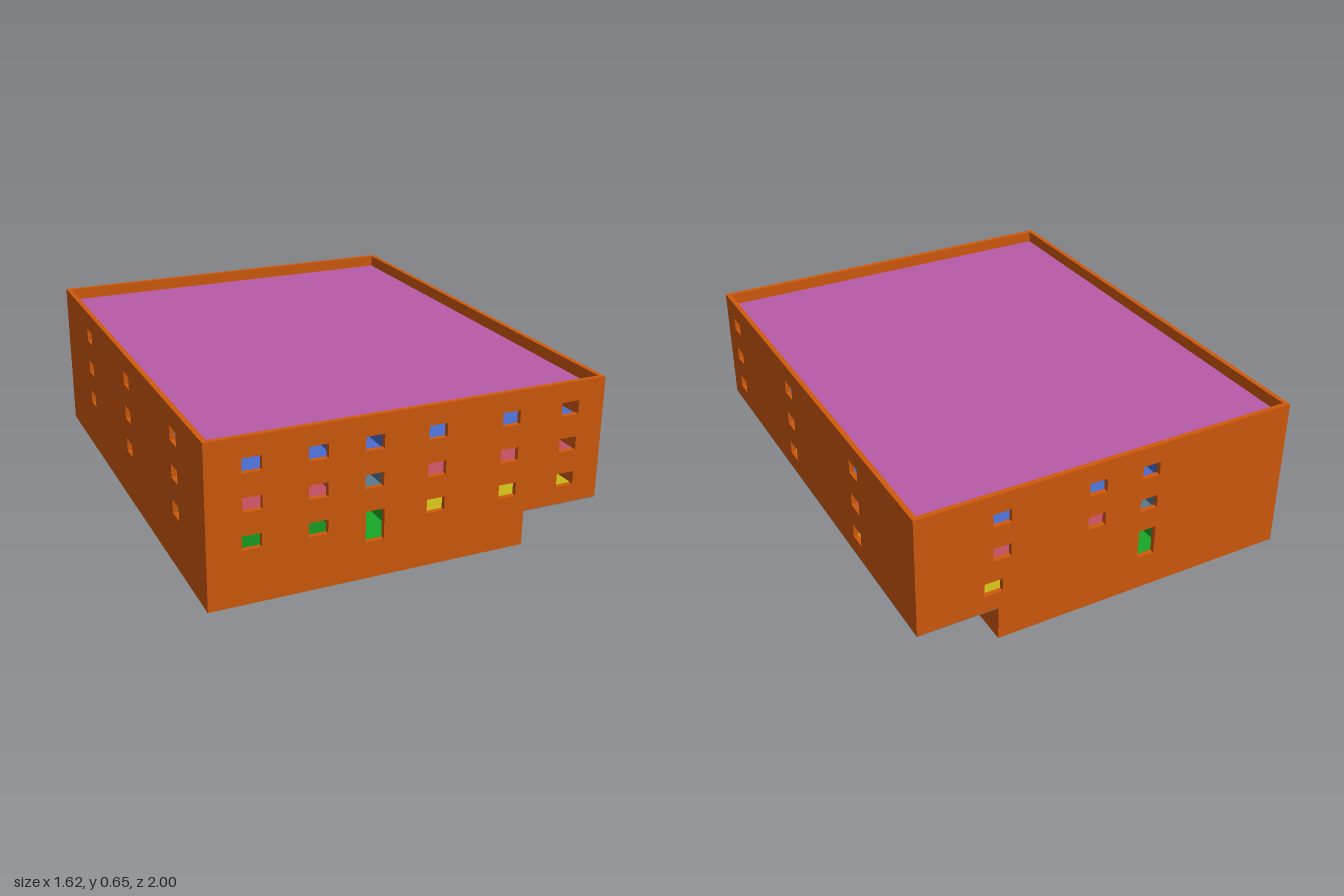
import * as THREE from 'three';

const W = 0.81, D = 1, H = 0.65, T = 0.02;      // half width, half depth, height, wall thickness
const BASE = 0.145, BASE_X = 0.48, ROOF = 0.6;  // basement height, basement right edge, roof level
const ORANGE = 0xd25a0c, YELLOW = 0xc8b818, GREEN = 0x148a1c, CYAN = 0x22b0b0;
const PINK = 0xc05060, TEAL = 0x5fae98, BLUE = 0x4a6cd0, PURPLE = 0x7d5c85;

const materials = {};
function mat(color) {
  return materials[color] ??= new THREE.MeshStandardMaterial({ color, side: THREE.DoubleSide });
}

// Box given by its limits on each axis
function slab(parent, name, color, x0, x1, y0, y1, z0, z1) {
  const mesh = new THREE.Mesh(new THREE.BoxGeometry(x1 - x0, y1 - y0, z1 - z0), mat(color));
  mesh.position.set((x0 + x1) / 2, (y0 + y1) / 2, (z0 + z1) / 2);
  mesh.name = name;
  parent.add(mesh);
}

// Upright wall from an outline, with rectangular openings [centre u, centre v, width, height]
function wall(parent, name, outline, openings, place) {
  const shape = new THREE.Shape(outline.map(([u, v]) => new THREE.Vector2(u, v)));
  for (const [u, v, w = 0.075, h = 0.056] of openings) {
    const a = w / 2, b = h / 2;
    shape.holes.push(new THREE.Path([[-a, -b], [-a, b], [a, b], [a, -b]]
      .map(([du, dv]) => new THREE.Vector2(u + du, v + dv))));
  }
  const mesh = new THREE.Mesh(
    new THREE.ExtrudeGeometry(shape, { depth: T, bevelEnabled: false }), mat(ORANGE));
  place(mesh);
  mesh.name = name;
  parent.add(mesh);
}

const rect = (u0, u1, v0, v1) => [[u0, v0], [u1, v0], [u1, v1], [u0, v1]];
const rows = (us, vs) => vs.flatMap(v => us.map(u => [u, v]));

function buildShell(g) {
  const stepped = [[-W, 0], [BASE_X, 0], [BASE_X, BASE], [W, BASE], [W, H], [-W, H]];
  const side = x => m => { m.rotation.y = -Math.PI / 2; m.position.x = x; };

  wall(g, 'frontWall', stepped, [
    ...rows([-0.635, -0.385, -0.165, 0.09, 0.4, 0.66], [0.542, 0.393]),
    ...rows([-0.64, -0.385, 0.09, 0.4, 0.66], [0.246]),
    [-0.16, 0.212, 0.075, 0.124]
  ], m => { m.position.z = D - T; });

  wall(g, 'backWall', stepped, [
    ...rows([0.465, 0.065, -0.168], [0.542, 0.393]),
    [0.5, 0.246], [-0.17, 0.212, 0.075, 0.124]
  ], m => { m.position.z = -D; });

  const innerEnd = D - T;
  wall(g, 'rightWall', rect(-innerEnd, innerEnd, BASE, H),
    rows([0.865, 0.205, -0.475], [0.542, 0.393, 0.246]), side(W));
  wall(g, 'leftWall', rect(-innerEnd, innerEnd, 0, H),
    rows([0.66, 0.035, -0.57], [0.542, 0.393, 0.246]), side(T - W));
  wall(g, 'basementRightWall', rect(-innerEnd, innerEnd, 0, BASE), [], side(BASE_X));

  const x = W - T, z = D - T;
  slab(g, 'roof', 0xb85ca8, -x, x, ROOF - 0.01, ROOF, -z, z);
  slab(g, 'overhangUnderside', 0x808080, BASE_X, W, BASE - 0.003, BASE, -D, D);
}

function buildBasement(g) {
  const x0 = T - W, x1 = BASE_X - T, z = D - T;
  const hall = [-0.31, -0.12], t = 0.008;
  // Floor plates
  slab(g, 'basementRoomFloor', PURPLE, x0, hall[0], 0.004, 0.008, -z, z);
  slab(g, 'basementHallFloor', 0x4c7d48, hall[0], hall[1], 0.004, 0.008, -z, z);
  slab(g, 'basementRoomFloor', PURPLE, hall[1], x1, 0.004, 0.008, -z, z);
  // Hall walls and the doors in them
  for (const x of hall) {
    slab(g, 'basementHallWall', 0xc8b060, x - t, x + t, 0.002, BASE, -z, z);
    for (const dz of [0.8, 0.35, -0.1, -0.55, -0.8])
      slab(g, 'basementDoor', 0x60c0d8, x - t - 0.001, x + t + 0.001, 0.001, 0.11, dz - 0.07, dz + 0.07);
  }
  // Walls between rooms
  for (const c of [0.47, -0.05, -0.53])
    slab(g, 'basementRoomWall', 0xc8b060, hall[1], x1, 0.002, BASE, c - t, c + t);
  for (const c of [0.27, -0.2, -0.66])
    slab(g, 'basementRoomWall', 0xc8b060, x0, hall[0], 0.002, BASE, c - t, c + t);
}

function buildStoreys(g) {
  const x = W - T, z = D - T, t = 0.006;
  const hall = [-0.26, -0.06];
  // Each storey: floor level, ceiling level, hall colour, colours of left, mid-left and right rooms
  const storeys = [
    [0.146, 0.296, 0x18a828, GREEN, CYAN, YELLOW],
    [0.296, 0.446, 0x5a7a90, PINK, TEAL, PINK],
    [0.446, 0.59, BLUE, BLUE, BLUE, BLUE]
  ];
  storeys.forEach(([y0, y1, hallColor, farColor, nearColor, mainColor], i) => {
    const split = i === 0 ? -0.41 : -0.385;
    // Floors
    slab(g, 'roomFloor', farColor, -x, hall[0], y0, y0 + 0.004, -z, z);
    slab(g, 'hallFloor', hallColor, hall[0], hall[1], y0, y0 + 0.004, -z, z);
    slab(g, 'roomFloor', mainColor, hall[1], x, y0, y0 + 0.004, -z, z);
    // Hall walls, each faced in the colour of the room behind it
    slab(g, 'hallWall', hallColor, hall[0], hall[0] + t, y0, y1, -z, z);
    slab(g, 'roomWall', farColor, hall[0] - t, hall[0], y0, y1, -z, z);
    slab(g, 'hallWall', hallColor, hall[1] - t, hall[1], y0, y1, -z, z);
    slab(g, 'roomWall', mainColor, hall[1], hall[1] + t, y0, y1, -z, z);
    // Walls between rooms
    for (const c of [0.32, -0.27]) {
      slab(g, 'crossWall', farColor, -x, split, y0, y1, c - t, c + t);
      slab(g, 'crossWall', nearColor, split, hall[0] - t, y0, y1, c - t, c + t);
    }
    for (const c of [0.52, -0.13, -0.7])
      slab(g, 'crossWall', i === 0 && c < -0.5 ? 0x8a2090 : mainColor,
        hall[1] + t, x, y0, y1, c - t, c + t);
    // The top hall is closed across the middle
    if (i === 2) slab(g, 'hallCrossWall', BLUE, hall[0], hall[1], y0, y1, -t, t);
  });
}

export function createModel() {
  const model = new THREE.Group();
  model.name = 'building';
  for (const [name, build] of [['shell', buildShell], ['basement', buildBasement], ['storeys', buildStoreys]]) {
    const part = new THREE.Group();
    part.name = name;
    build(part);
    model.add(part);
  }
  return model;
}
